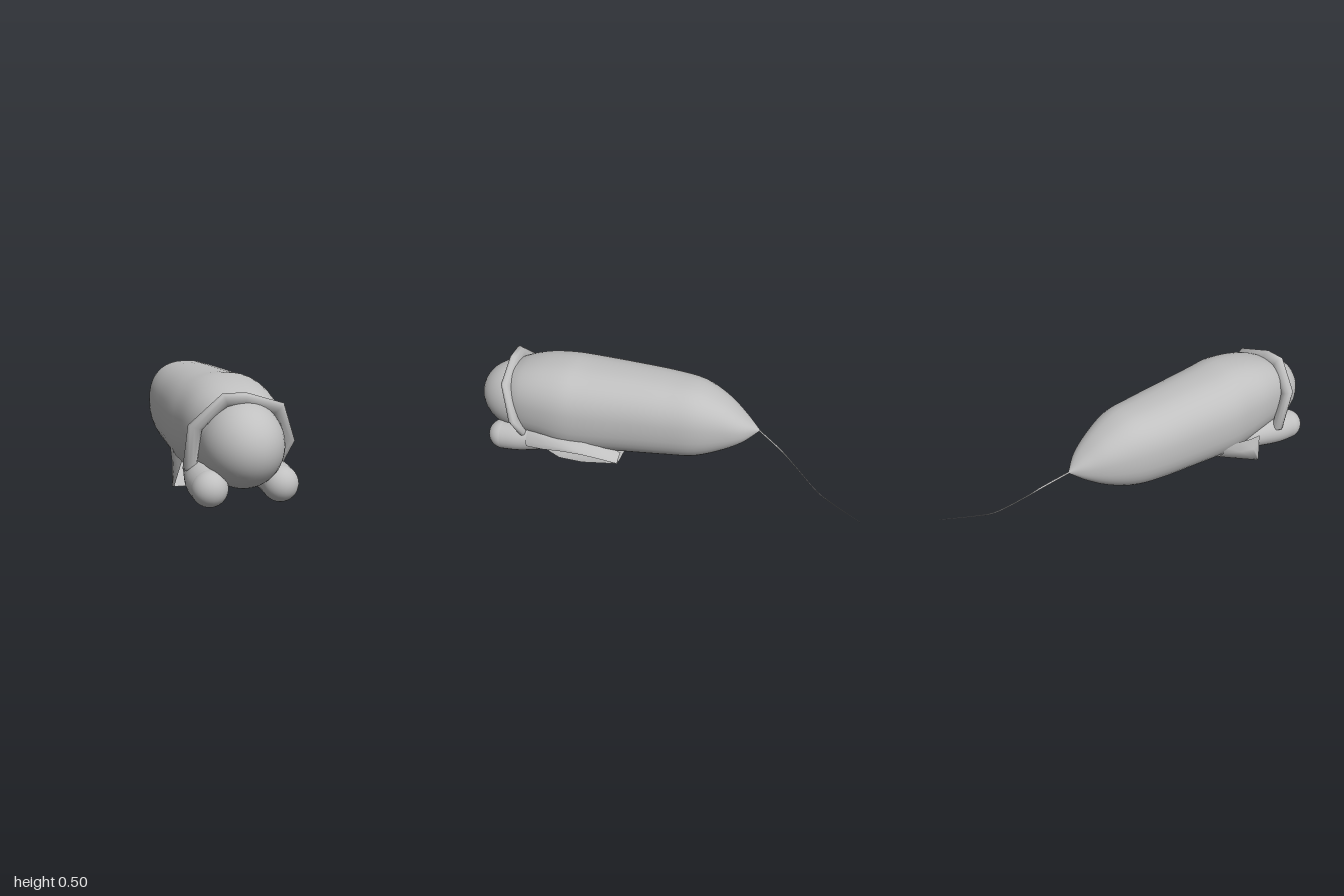
import * as THREE from 'three';

const grey = new THREE.MeshStandardMaterial({ color: 0xc0c0c0, side: THREE.DoubleSide });
grey.name = 'plain grey';

// Grid of points (rows of equal length) turned into a smooth surface.
function surface(rows, closeAcross = false, closeAlong = false) {
  const n = rows[0].length, m = rows.length, index = [];
  for (let i = 0; i < (closeAlong ? m : m - 1); i++) {
    for (let j = 0; j < (closeAcross ? n : n - 1); j++) {
      const a = i * n + j, b = i * n + (j + 1) % n;
      const c = ((i + 1) % m) * n + j, d = ((i + 1) % m) * n + (j + 1) % n;
      index.push(a, b, d, a, d, c);
    }
  }
  const g = new THREE.BufferGeometry();
  g.setAttribute('position', new THREE.Float32BufferAttribute(rows.flat(2), 3));
  g.setIndex(index);
  g.computeVertexNormals();
  return g;
}

// Smooth tube of rounded-square rings; each section is [z, x0, x1, y0, y1].
function loft(sections, power = 2, steps = 48, sides = 40) {
  const centre = new THREE.CatmullRomCurve3(sections.map(([z, a, b, c, d]) =>
    new THREE.Vector3((a + b) / 2, (c + d) / 2, z)));
  const radius = new THREE.CatmullRomCurve3(sections.map(([z, a, b, c, d]) =>
    new THREE.Vector3((b - a) / 2, (d - c) / 2, z)));
  centre.curveType = radius.curveType = 'catmullrom';
  const bend = v => Math.sign(v) * Math.abs(v) ** (2 / power);
  const rows = [];
  for (let i = 0; i <= steps; i++) {
    const c = centre.getPoint(i / steps), r = radius.getPoint(i / steps);
    const row = [];
    for (let j = 0; j < sides; j++) {
      const t = j / sides * Math.PI * 2;
      row.push([c.x + Math.max(r.x, 0) * bend(Math.cos(t)),
        c.y + Math.max(r.y, 0) * bend(Math.sin(t)), c.z]);
    }
    rows.push(row);
  }
  return surface(rows, true);
}

// Faceted ruff that leans forward at the top.
function collarGeometry() {
  const outline = [[-0.13, 0.472], [-0.03, 0.472], [0.145, 0.415], [0.218, 0.24], [0.18, 0.14],
    [0.1, 0.065], [-0.03, 0.045], [-0.16, 0.065], [-0.272, 0.14], [-0.265, 0.34]];
  const rows = outline.reverse().map(([x, y]) => {
    const out = new THREE.Vector2(x + 0.03, y - 0.25).normalize();
    const row = [];
    for (let k = 0; k < 10; k++) {
      const t = k / 10 * Math.PI * 2;
      const r = 0.034 * (Math.cos(t) - 1);
      const py = y + out.y * r;
      row.push([x + out.x * r, py, 0.73 + (py - 0.15) * 0.31 + 0.023 * Math.sin(t)]);
    }
    return row;
  });
  return surface(rows, true, true);
}

export function createModel() {
  const model = new THREE.Group();
  model.name = 'crawlingCreature';
  const add = (name, geometry) => {
    const mesh = new THREE.Mesh(geometry, grey);
    mesh.name = name;
    model.add(mesh);
    return mesh;
  };

  // Long sack-like body, pointed at the back
  add('body', loft([
    [-0.455, -0.033, -0.027, 0.257, 0.263],
    [-0.38, -0.1, 0.045, 0.195, 0.33],
    [-0.28, -0.165, 0.095, 0.135, 0.405],
    [-0.15, -0.215, 0.14, 0.085, 0.465],
    [0, -0.24, 0.158, 0.067, 0.48],
    [0.2, -0.25, 0.175, 0.05, 0.49],
    [0.4, -0.258, 0.195, 0.035, 0.497],
    [0.52, -0.25, 0.202, 0.035, 0.503],
    [0.64, -0.24, 0.19, 0.06, 0.49],
    [0.74, -0.22, 0.17, 0.07, 0.465],
    [0.81, -0.2, 0.14, 0.085, 0.435]], 2.35));

  // Smooth round head
  const head = add('head', new THREE.SphereGeometry(1, 40, 28));
  head.scale.set(0.178, 0.187, 0.215);
  head.position.set(-0.032, 0.247, 0.785);

  add('collar', collarGeometry());

  // Arms with rounded ends, stretched forward
  for (const [name, x, back] of [['leftArm', 0.118, 0], ['rightArm', -0.19, 1]]) {
    const s = back ? 1 : -1;
    const ring = (z, r, y, dx = 0) => [z, x + s * dx - r, x + s * dx + r, y - r, y + r];
    add(name, loft([ring(0.48, 0.03, 0.12, 0.03), ring(0.56, 0.06, 0.11, 0.025),
      ring(0.66, 0.075, 0.1, 0.015), ring(0.76, 0.078, 0.09), ring(0.85, 0.078, 0.082)], 2, 20, 28));
    const hand = add(name + 'End', new THREE.SphereGeometry(0.078, 28, 20));
    hand.position.set(x, 0.082, 0.852);
  }

  // Open hanging sleeve on the left: upper flap and lower lip
  const at = (z, pts) => pts.map(([x, y]) => [x, y, z]);
  add('leftSleeveTop', surface([
    at(0.7, [[0.05, 0.14], [0.1, 0.178], [0.155, 0.17], [0.192, 0.12], [0.196, 0.09]]),
    at(0.6, [[0.08, 0.16], [0.14, 0.185], [0.185, 0.165], [0.208, 0.13], [0.21, 0.1]]),
    at(0.5, [[0.12, 0.2], [0.17, 0.18], [0.2, 0.158], [0.218, 0.138], [0.222, 0.118]]),
    at(0.39, [[0.14, 0.2], [0.178, 0.165], [0.203, 0.145], [0.219, 0.13], [0.225, 0.122]]),
    at(0.3, [[0.13, 0.14], [0.165, 0.125], [0.185, 0.11], [0.196, 0.1], [0.2, 0.092]]),
    at(0.22, [[0.12, 0.09], [0.14, 0.085], [0.16, 0.078], [0.172, 0.07], [0.178, 0.064]])]));
  add('leftSleeveLip', surface([
    at(0.6, [[-0.02, 0.05], [0.05, 0.035], [0.11, 0.028], [0.15, 0.045]]),
    at(0.53, [[-0.02, 0.035], [0.06, 0.022], [0.13, 0.02], [0.175, 0.035]]),
    at(0.4, [[0, 0.035], [0.07, 0.03], [0.14, 0.03], [0.19, 0.045]]),
    at(0.22, [[0.05, 0.052], [0.1, 0.052], [0.14, 0.056], [0.178, 0.064]])]));

  // Pointed sleeve corner on the right
  add('rightSleeveFlap', surface([
    at(0.36, [[-0.235, 0.16], [-0.225, 0.12], [-0.19, 0.08], [-0.1, 0.038]]),
    at(0.46, [[-0.245, 0.16], [-0.25, 0.1], [-0.235, 0.05], [-0.1, 0.03]]),
    [[-0.25, 0.15, 0.53], [-0.262, 0.09, 0.54], [-0.275, 0.018, 0.56], [-0.1, 0.022, 0.54]],
    [[-0.24, 0.14, 0.6], [-0.25, 0.1, 0.59], [-0.27, 0.02, 0.575], [-0.13, 0.022, 0.6]]]));

  // Hair-thin tail trailing back to the left
  const hair = [[-1, 0.272, 0.055, 0.001], [-0.85, 0.18, 0.062, 0.002], [-0.77, 0.13, 0.078, 0.003],
    [-0.65, 0.06, 0.15, 0.003], [-0.57, 0.02, 0.2, 0.005], [-0.45, -0.03, 0.26, 0.005]];
  add('tail', loft(hair.map(([z, x, y, r]) => [z, x - r, x + r, y - r, y + r]), 2, 30, 6));

  return model;
}
